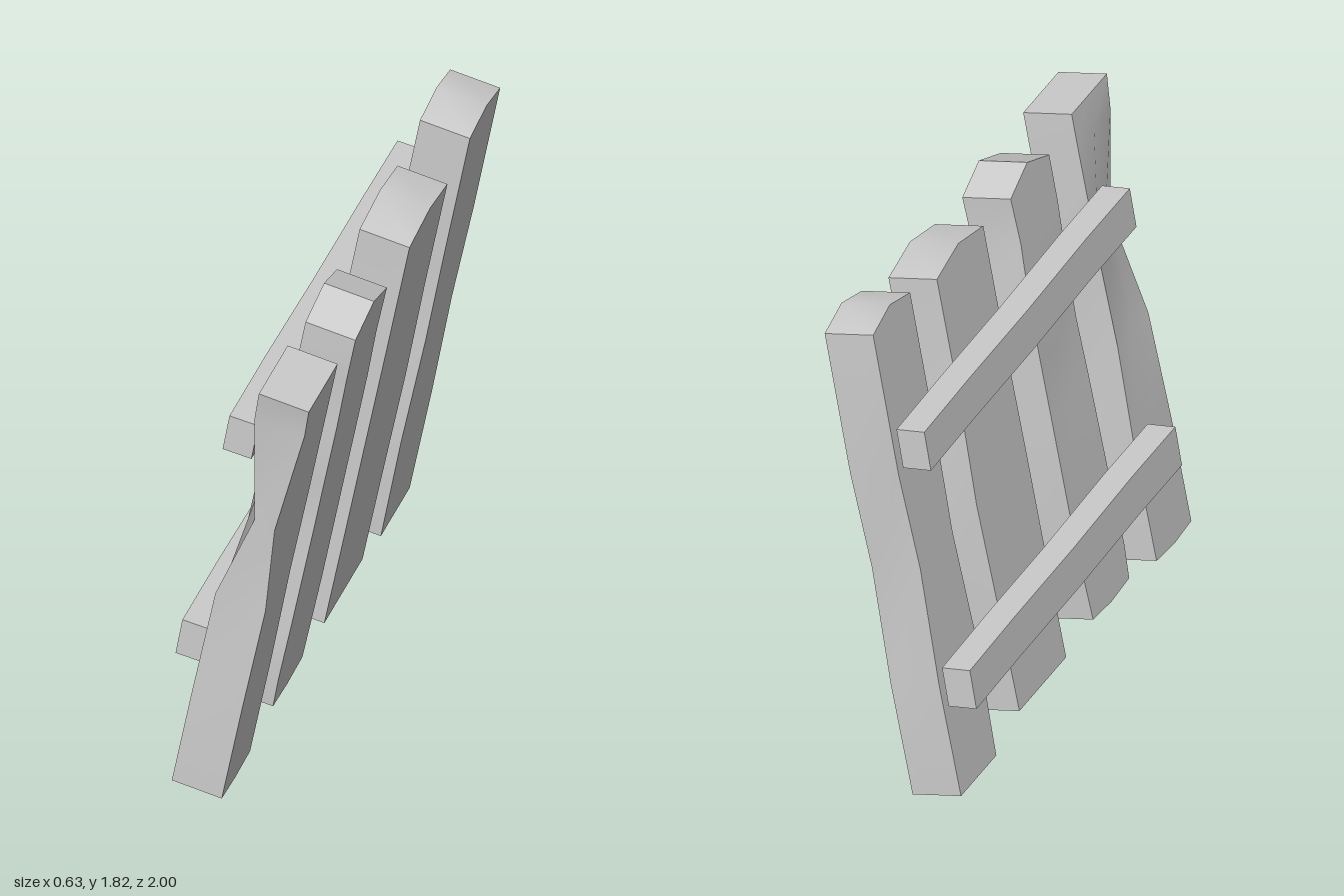
import * as THREE from 'three';
import { toCreasedNormals } from 'three/addons/utils/BufferGeometryUtils.js';

const LEAN = 0.186, YAW = 0.034; // x gained per unit of height and of depth
const material = new THREE.MeshStandardMaterial({ color: 0xcccccc });

// Skin a stack of rings (counter-clockwise seen from the last one) and cap both ends with quads
function loft(rings, caps) {
  const n = rings[0].length, index = [];
  const quad = (a, b, c, d) => index.push(a, b, c, a, c, d);
  for (let j = 0; j < rings.length - 1; j++) {
    for (let i = 0; i < n; i++) {
      const k = (i + 1) % n;
      quad(j * n + i, j * n + k, (j + 1) * n + k, (j + 1) * n + i);
    }
  }
  const last = (rings.length - 1) * n;
  for (const [a, b, c, d] of caps) {
    quad(d, c, b, a);
    quad(last + a, last + b, last + c, last + d);
  }
  const g = new THREE.BufferGeometry();
  g.setAttribute('position', new THREE.Float32BufferAttribute(rings.flat(2), 3));
  g.setIndex(index);
  return toCreasedNormals(g, 0.55);
}

// levels: [y, z of one edge, z of other edge, optional front and back pinch, optional back bulge]
// peak / sag: how far the middle of the top and bottom ends rises
function plank(name, levels, peak, sag) {
  const rings = levels.map(([y, zL, zR, pinchF = 0, pinchB = 0, bulge = 0], j) => {
    const rise = j === levels.length - 1 ? peak : j === 0 ? sag : 0;
    const zM = (zL + zR) / 2;
    const front = (h, z, dx = 0) => [-0.04 + LEAN * h + YAW * z + dx, h, z];
    const back = (h, z, dx = 0, dz = 0) => {
      const p = front(h, z, dx);
      return [p[0] - 0.18, p[1] + 0.035, p[2] + 0.006 + dz];
    };
    return [
      front(y, zL, pinchF), front(y + rise, zM, pinchF / 2), front(y, zR),
      back(y, zR), back(y + rise, zM, pinchB / 2), back(y, zL, pinchB, bulge),
    ];
  });
  const mesh = new THREE.Mesh(loft(rings, [[0, 1, 4, 5], [1, 2, 3, 4]]), material);
  mesh.name = name;
  return mesh;
}

// Cross rail: a leaning rectangle swept along z with slight drops
function rail(name, x, y) {
  const sections = [[-0.98, -0.027], [-0.6, -0.018], [-0.1, -0.015], [0.4, 0], [0.77, 0]];
  const corners = [[0.04, -0.08], [0.065, 0.065], [-0.04, 0.08], [-0.065, -0.065]];
  const rings = sections.map(([z, drop]) =>
    corners.map(([cx, cy]) => [x + cx + YAW * z, y + cy + drop, z]));
  const mesh = new THREE.Mesh(loft(rings, [[0, 1, 2, 3]]), material);
  mesh.name = name;
  return mesh;
}

export function createModel() {
  const group = new THREE.Group();
  group.name = 'fence';
  group.add(
    plank('frontPlank', [
      [0.03, 0.995, 0.70], [0.42, 0.99, 0.69], [0.83, 0.965, 0.705],
      [1.18, 0.97, 0.69, -0.03, 0.08], [1.6, 0.965, 0.685], [1.72, 0.985, 0.685],
    ], 0, -0.01),
    plank('frontMiddlePlank', [
      [0.075, 0.485, 0.178], [0.2, 0.495, 0.168], [0.42, 0.48, 0.152], [0.85, 0.465, 0.147],
      [1.05, 0.465, 0.144, 0, 0.02, 0.022], [1.28, 0.46, 0.143], [1.5, 0.475, 0.16], [1.675, 0.475, 0.147],
    ], 0.055, -0.01),
    plank('backMiddlePlank', [
      [0.055, -0.06, -0.458], [0.42, -0.068, -0.47], [0.85, -0.073, -0.49],
      [1.25, -0.08, -0.472], [1.69, -0.08, -0.475],
    ], 0.035, 0),
    plank('backPlank', [
      [0, -0.678, -0.978], [0.42, -0.664, -0.988], [0.85, -0.694, -0.968],
      [1.22, -0.682, -0.998], [1.745, -0.68, -0.995],
    ], 0.035, 0),
    rail('upperRail', -0.045, 1.387),
    rail('lowerRail', -0.217, 0.49),
  );
  return group;
}
